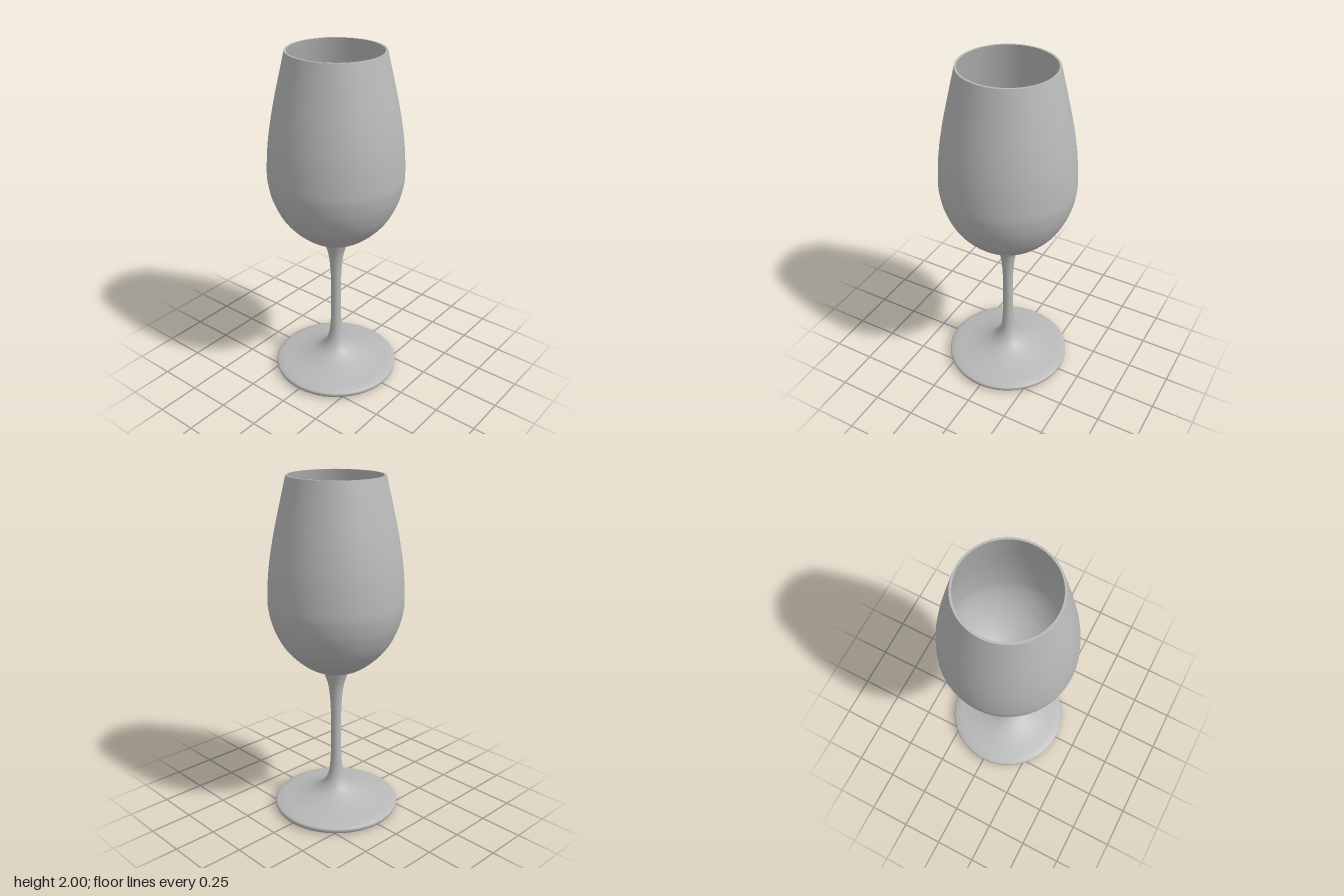
import * as THREE from 'three';

const glass = new THREE.MeshStandardMaterial({ color: 0xb8b8b8 });
glass.name = 'greyGlass';

const toPoints = (pairs) => pairs.map(([r, y]) => new THREE.Vector2(r, y));

// Smooth curve through a few [radius, height] pairs
const smooth = (pairs, n) => new THREE.SplineCurve(toPoints(pairs)).getPoints(n);

function turned(name, points, segments = 48) {
  const mesh = new THREE.Mesh(new THREE.LatheGeometry(points, segments), glass);
  mesh.name = name;
  return mesh;
}

export function createModel() {
  const group = new THREE.Group();
  group.name = 'wineGlass';

  // Foot: flat underside, rounded edge, then a sweep up into the stem
  group.add(turned('footUnderside', toPoints([[0, 0], [0.35, 0]])));
  group.add(turned('footEdge', smooth([[0.35, 0], [0.368, 0.01], [0.374, 0.028], [0.365, 0.04], [0.33, 0.05]], 10)));
  group.add(turned('footTop', smooth([
    [0.33, 0.05], [0.25, 0.065], [0.17, 0.088], [0.11, 0.117],
    [0.07, 0.155], [0.047, 0.205], [0.036, 0.27], [0.031, 0.36],
  ], 28)));

  // Stem: slender, flaring where it meets the bowl
  group.add(turned('stem', smooth([
    [0.031, 0.36], [0.03, 0.48], [0.031, 0.62], [0.037, 0.72],
    [0.047, 0.79], [0.062, 0.84], [0.075, 0.88],
  ], 18), 24));

  // Bowl: outer wall, rim and inner wall
  const outer = [
    [0.07, 0.875], [0.15, 0.905], [0.235, 0.968], [0.31, 1.055], [0.36, 1.16],
    [0.382, 1.25], [0.387, 1.33], [0.375, 1.5], [0.347, 1.67], [0.314, 1.82], [0.272, 2],
  ];
  const inner = [
    [0.26, 2], [0.302, 1.82], [0.335, 1.67], [0.363, 1.5], [0.375, 1.33], [0.37, 1.25],
    [0.347, 1.165], [0.298, 1.068], [0.225, 0.985], [0.14, 0.925], [0.07, 0.902], [0, 0.895],
  ];
  group.add(turned('bowlOuter', smooth(outer, 40)));
  group.add(turned('bowlRim', toPoints([[0.272, 2], [0.26, 2]])));
  group.add(turned('bowlInner', smooth(inner, 40)));

  return group;
}
